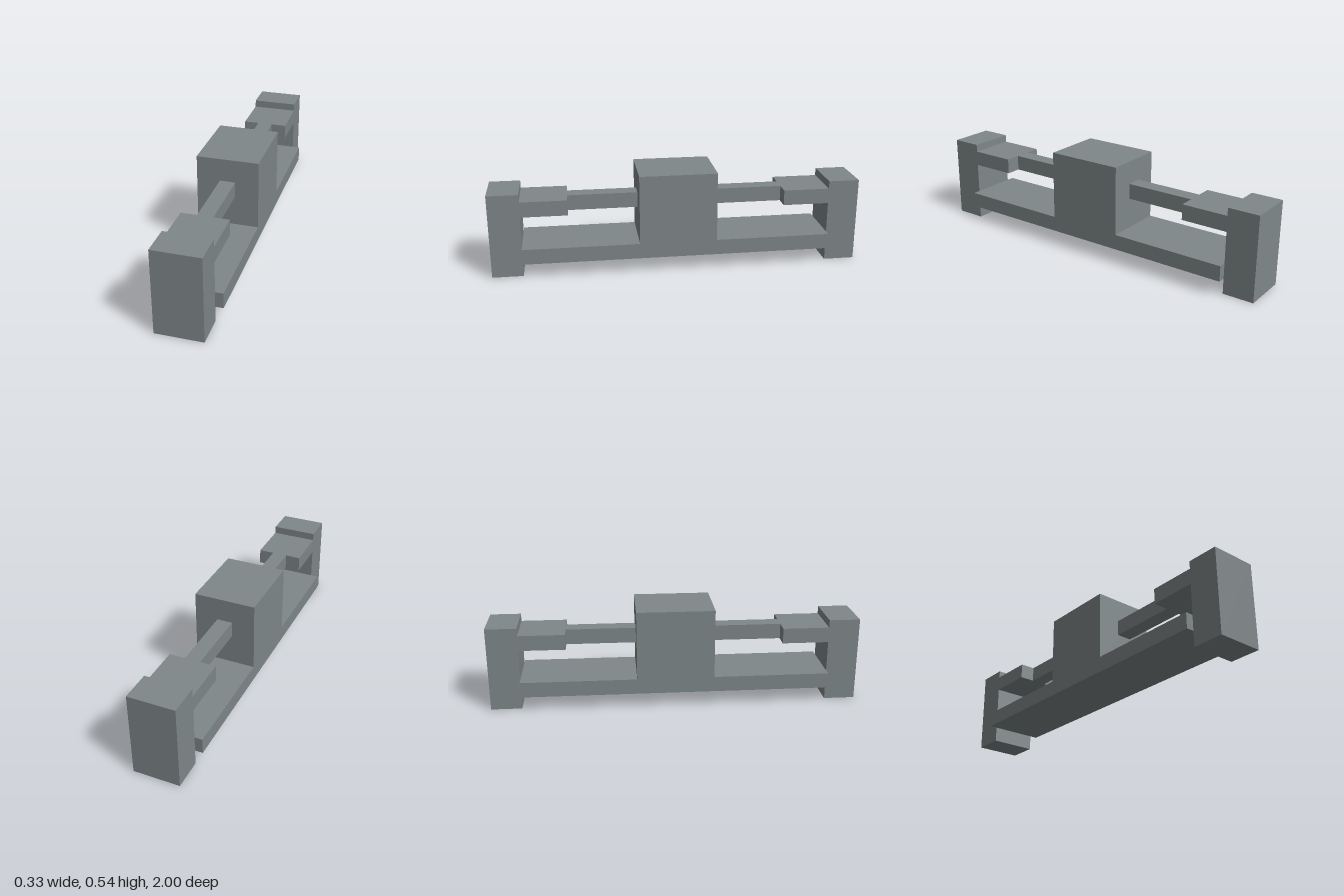
import * as THREE from 'three';

const U = 1 / 24; // modelling unit

export function createModel() {
  const model = new THREE.Group();
  const slateGrey = new THREE.MeshStandardMaterial({ color: 0x7f8789 });
  slateGrey.name = 'slateGrey';

  // Box centred on x, spanning y0..y1 and z0..z1 in modelling units
  function block(name, halfWidth, y0, y1, z0, z1) {
    const geometry = new THREE.BoxGeometry(2 * halfWidth * U, (y1 - y0) * U, (z1 - z0) * U);
    const mesh = new THREE.Mesh(geometry, slateGrey);
    mesh.name = name;
    mesh.position.set(0, (y0 + y1) / 2 * U, (z0 + z1) / 2 * U);
    return mesh;
  }

  // Long deck with the central body on it
  model.add(block('deck', 4, 2, 4, -20, 20));
  model.add(block('centralBody', 4, 4, 13, -5, 5));

  // Matching ends: post, wide bracket and narrow arm to the body
  for (const [name, turn] of [['frontEnd', 0], ['backEnd', Math.PI]]) {
    const end = new THREE.Group();
    end.name = name;
    end.add(block('endPost', 3, 0, 11, 20, 24));
    end.add(block('bracket', 3, 8, 10, 14, 20));
    end.add(block('arm', 1, 8, 10, 5, 14));
    end.rotation.y = turn;
    model.add(end);
  }

  return model;
}
